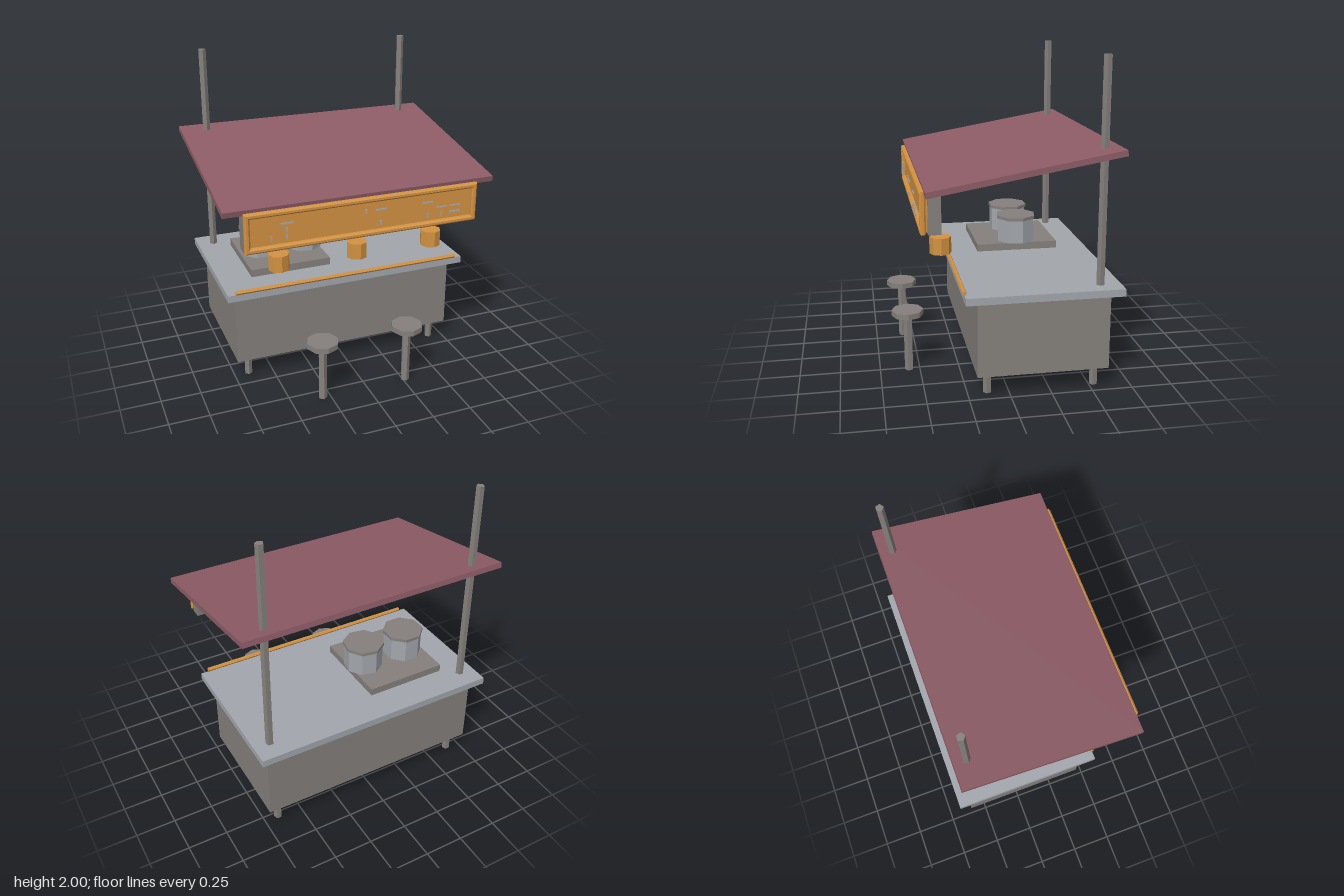
import * as THREE from 'three';

const mat = (name, color) => {
  const m = new THREE.MeshStandardMaterial({ color, flatShading: true });
  m.name = name;
  return m;
};

export function createModel() {
  const root = new THREE.Group();
  root.name = 'foodStall';
  const grey = mat('warmGrey', 0x85807c);
  const steel = mat('paleSteel', 0xa2a6ac);
  const orange = mat('orange', 0xd29242);
  const red = mat('dustyRed', 0x8d5c66);

  const add = (name, geo, material, x, y, z, parent = root) => {
    const m = new THREE.Mesh(geo, material);
    m.name = name;
    m.position.set(x, y, z);
    parent.add(m);
    return m;
  };
  const box = (name, material, x0, x1, y0, y1, z0, z1) =>
    add(name, new THREE.BoxGeometry(x1 - x0, y1 - y0, z1 - z0), material,
      (x0 + x1) / 2, (y0 + y1) / 2, (z0 + z1) / 2);
  const post = (name, material, r, sides, x, y0, y1, z, turn = 0) => {
    const m = add(name, new THREE.CylinderGeometry(r, r, y1 - y0, sides), material, x, (y0 + y1) / 2, z);
    m.rotation.y = turn;
    return m;
  };

  // Counter
  box('counterBody', grey, -0.74, 0.74, 0.135, 0.61, -0.6, 0.2);
  box('countertop', steel, -0.8, 0.8, 0.61, 0.655, -0.67, 0.275);
  const rail = add('counterRail', new THREE.CylinderGeometry(0.013, 0.013, 1.5, 6), orange, 0, 0.668, 0.275);
  rail.rotation.z = Math.PI / 2;

  // Legs and roof poles
  for (const s of [-1, 1]) {
    for (const z of [0.13, -0.53]) post('leg', grey, 0.025, 5, s * 0.657, 0, 0.14, z);
    post('roofPole', grey, 0.025, 5, s * 0.695, 0.65, 2, -0.544);
  }

  // Sloping roof
  const roof = add('roof', new THREE.BoxGeometry(1.72, 0.035, 1.14), red, 0, 1.373, -0.065);
  roof.rotation.x = THREE.MathUtils.degToRad(10);

  // Sign: backing, panel and bevelled frame
  box('signBacking', grey, -0.74, 0.74, 1.02, 1.27, 0.4, 0.475);
  box('signPanel', orange, -0.725, 0.725, 1.035, 1.255, 0.475, 0.492);
  const rect = (Type, w, h) => {
    const p = new Type();
    p.moveTo(-w, -h);
    p.lineTo(w, -h);
    p.lineTo(w, h);
    p.lineTo(-w, h);
    p.closePath();
    return p;
  };
  const frame = rect(THREE.Shape, 0.733, 0.114);
  frame.holes.push(rect(THREE.Path, 0.719, 0.1));
  add('signFrame', new THREE.ExtrudeGeometry(frame, {
    depth: 0.016, bevelEnabled: true, bevelSegments: 1, bevelSize: 0.01, bevelThickness: 0.01,
  }), orange, 0, 1.146, 0.495);

  // Thin dashes floating before the sign: x, y, width, height
  const dashes = [
    [-0.495, 1.19, 0.075, 0.01], [-0.498, 1.15, 0.012, 0.03], [-0.59, 1.107, 0.01, 0.03],
    [-0.498, 1.107, 0.012, 0.03], [-0.006, 1.19, 0.012, 0.03], [0.09, 1.19, 0.075, 0.01],
    [0.088, 1.107, 0.012, 0.03], [0.4, 1.19, 0.075, 0.01], [0.4, 1.107, 0.012, 0.03],
    [0.491, 1.107, 0.012, 0.03], [0.492, 1.15, 0.078, 0.006], [0.584, 1.15, 0.075, 0.006],
    [0.583, 1.108, 0.075, 0.012],
  ];
  for (const [x, y, w, h] of dashes) {
    add('signDash', new THREE.BoxGeometry(w, h, 0.006), steel, x, y, 0.528);
  }

  // Hanging lanterns
  for (const x of [-0.505, -0.003, 0.502]) post('lantern', orange, 0.065, 8, x, 0.842, 0.943, 0.382);

  // Stove with two lidded pots
  box('stove', grey, -0.593, -0.062, 0.655, 0.703, -0.465, 0.072);
  for (const [x, turn] of [[-0.46, Math.PI / 8], [-0.155, 0.21]]) {
    post('pot', steel, 0.126, 8, x, 0.703, 0.86, -0.203, turn);
    post('potLid', grey, 0.134, 8, x, 0.86, 0.88, -0.203, turn);
  }

  // Stools
  for (const x of [-0.3, 0.265]) {
    post('stoolSeat', grey, 0.1, 8, x, 0.37, 0.405, 0.57);
    post('stoolStem', grey, 0.028, 5, x, 0, 0.37, 0.567);
  }
  return root;
}
